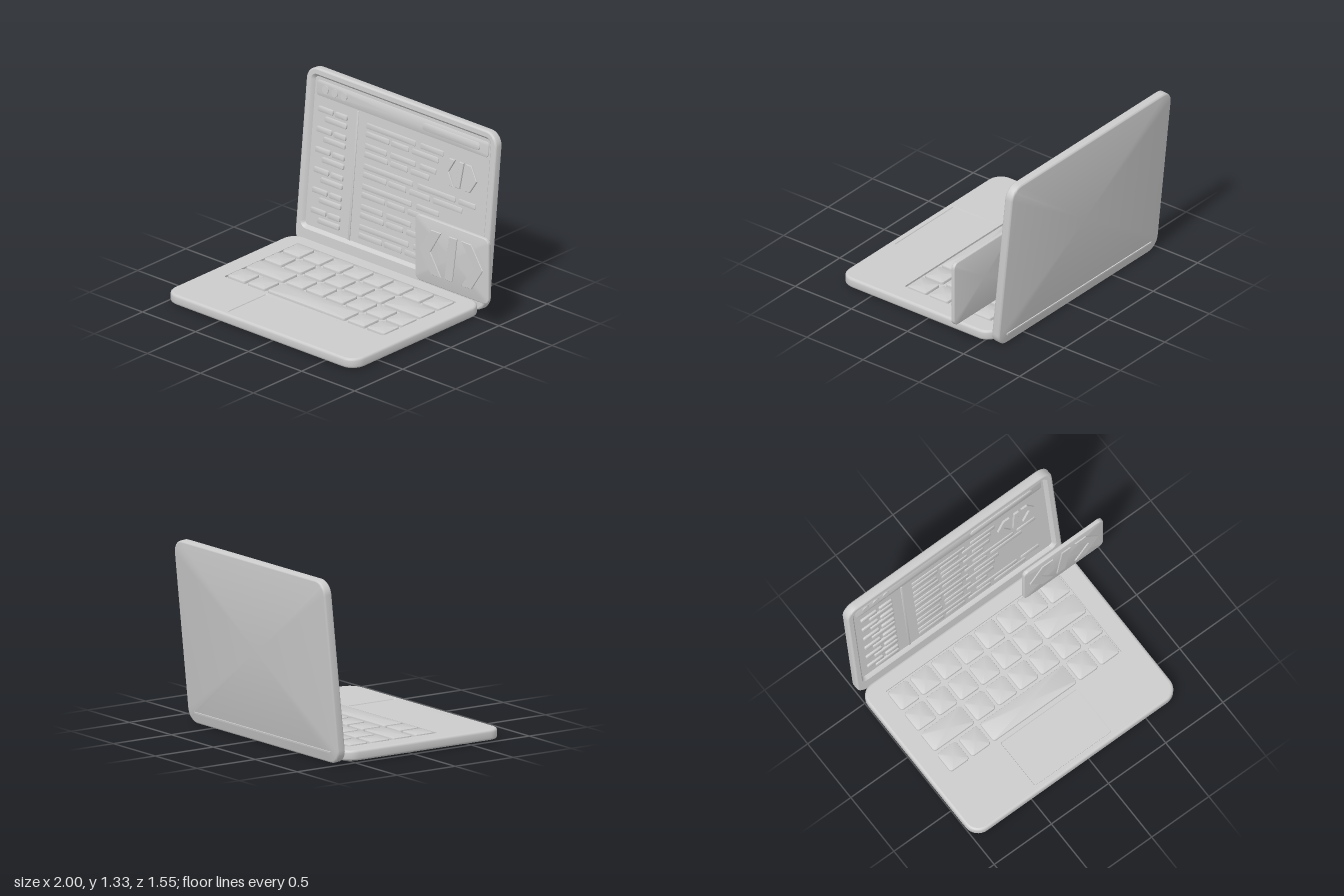
import * as THREE from 'three';
import { mergeGeometries, toCreasedNormals } from 'three/addons/utils/BufferGeometryUtils.js';

const material = new THREE.MeshStandardMaterial({ color: 0xcccccc });

// Counter-clockwise rounded rectangle outline
function outline(w, h, r, cx = 0, cy = 0, steps = 8) {
  const pts = [];
  const corners = [[1, 1], [-1, 1], [-1, -1], [1, -1]];
  corners.forEach(([sx, sy], q) => {
    for (let i = 0; i <= steps; i++) {
      const a = (q + i / steps) * Math.PI / 2;
      pts.push(new THREE.Vector2(
        cx + sx * (w / 2 - r) + r * Math.cos(a),
        cy + sy * (h / 2 - r) + r * Math.sin(a)));
    }
  });
  return pts;
}

// Skin over rounded-rectangle rings [inset, z]; caps are optional
function loft(w, h, r, cx, cy, rings, { start = true, end = true, steps = 8 } = {}) {
  const pos = [];
  const loops = rings.map(([d, z]) =>
    outline(w - 2 * d, h - 2 * d, Math.max(r - d, 0.002), cx, cy, steps)
      .map(p => [p.x, p.y, z]));
  const n = loops[0].length;
  for (let k = 0; k < loops.length - 1; k++) {
    for (let j = 0; j < n; j++) {
      const a = loops[k][j], b = loops[k][(j + 1) % n];
      const c = loops[k + 1][(j + 1) % n], d = loops[k + 1][j];
      pos.push(...a, ...b, ...c, ...a, ...c, ...d);
    }
  }
  const cap = (loop, up) => {
    for (let j = 0; j < n; j++) {
      const a = loop[j], b = loop[(j + 1) % n], m = [cx, cy, a[2]];
      pos.push(...m, ...(up ? a : b), ...(up ? b : a));
    }
  };
  if (start) cap(loops[0], false);
  if (end) cap(loops[loops.length - 1], true);
  const g = new THREE.BufferGeometry();
  g.setAttribute('position', new THREE.Float32BufferAttribute(pos, 3));
  return toCreasedNormals(g, 0.6);
}

// Rounded slab given by its edges, with softened front edges
function slab(x0, x1, y0, y1, z0, z1, r, bevel = 0.003) {
  return loft(x1 - x0, y1 - y0, r, (x0 + x1) / 2, (y0 + y1) / 2,
    [[0, z0], [0, z1 - bevel], [bevel * 0.3, z1 - bevel * 0.3], [bevel, z1]], { steps: 5 });
}

function add(parent, name, geometry) {
  const mesh = new THREE.Mesh(geometry, material);
  mesh.name = name;
  parent.add(mesh);
  return mesh;
}

// Rounded outer rim running from the back face to the front face
const rim = (z0, z1, b) => [
  [b, z0], [b * 0.5, z0 + b * 0.13], [b * 0.13, z0 + b * 0.5], [0, z0 + b],
  [0, z1 - b], [b * 0.13, z1 - b * 0.5], [b * 0.5, z1 - b * 0.13], [b, z1]];

// Two chevrons with a slanted bar between them, centred on the origin
function chevrons(sx, sy, depth) {
  const shapes = [
    [[-0.298, 0], [-0.19, -0.17], [-0.095, -0.17], [-0.197, 0], [-0.095, 0.17], [-0.19, 0.17]],
    [[-0.065, -0.17], [0.01, -0.17], [0.055, 0.17], [-0.02, 0.17]],
    [[0.298, 0], [0.19, 0.17], [0.095, 0.17], [0.21, 0], [0.095, -0.17], [0.19, -0.17]]];
  return mergeGeometries(shapes.map(pts => new THREE.ExtrudeGeometry(
    new THREE.Shape(pts.map(([x, y]) => new THREE.Vector2(x * sx, y * sy))),
    { depth: depth - 0.003, bevelThickness: 0.003, bevelSize: 0.003, bevelSegments: 1, bevelOffset: -0.003 })));
}

function buildBase() {
  // Local z is up, local y points to the back
  const base = new THREE.Group();
  base.name = 'base';
  base.rotation.x = -Math.PI / 2;
  const cx = -0.105, cy = -0.103, w = 1.79, h = 1.348, r = 0.11, top = 0.085, b = 0.018;
  const well = [1.5, 0.77, 0.02, -0.107, 0.073];
  const pad = [0.67, 0.4, 0.012, -0.105, -0.53];

  add(base, 'baseShell', loft(w, h, r, cx, cy, rim(0.01, top, b), { end: false }));
  const deck = new THREE.Shape(outline(w - 2 * b, h - 2 * b, r - b, cx, cy));
  deck.holes.push(new THREE.Path(outline(...well).reverse()), new THREE.Path(outline(...pad).reverse()));
  add(base, 'deck', new THREE.ShapeGeometry(deck).translate(0, 0, top));
  add(base, 'keyboardWell', loft(...well, [[0, top], [0, top - 0.014]], { start: false }));
  add(base, 'trackpad', loft(...pad, [[0, top], [0.003, top - 0.006]], { start: false }));

  // Key widths in columns for each row, back to front
  const rows = [
    [1, 1, 1, 1, 1, 1, 1, 1],
    [1, 1, 1, 1, 1, 1, 2],
    [2, 1, 1, 1, 1, 1, 1],
    [1, 1, 4, 1, 1]];
  const pitch = 0.188, size = 0.165, keys = [];
  rows.forEach((row, i) => {
    let col = 0;
    const y1 = 0.442 - i * 0.19;
    for (const span of row) {
      const x0 = -0.847 + col * pitch;
      keys.push(slab(x0, x0 + (span - 1) * pitch + size, y1 - size, y1, top - 0.014, 0.092, 0.022, 0.005));
      col += span;
    }
  });
  add(base, 'keys', mergeGeometries(keys));
  return base;
}

function buildLid() {
  // Origin on the lower front edge; the lid leans back
  const lid = new THREE.Group();
  lid.name = 'lid';
  lid.position.set(0, 0.005, -0.573);
  lid.rotation.x = -0.102;
  const cx = -0.105, floor = -0.028;

  const shell = rim(-0.068, 0, 0.014);
  add(lid, 'lidShell', loft(1.79, 1.33, 0.1, cx, 0.665, shell, { end: false }));
  // Bezel with the screen recessed behind a sloping edge
  const frame = new THREE.Shape(outline(1.762, 1.302, 0.086, cx, 0.665));
  const screen = [1.7, 1.15, 0.05, cx, 0.71];
  frame.holes.push(new THREE.Path(outline(...screen).reverse()));
  add(lid, 'bezel', new THREE.ShapeGeometry(frame));
  add(lid, 'screen', loft(...screen, [[0, 0], [0.008, -0.006], [0.022, floor]], { start: false }));
  add(lid, 'hingeRidge', new THREE.BoxGeometry(1.62, 0.012, 0.012).translate(cx, 0.08, -0.07));

  const bar = (x0, x1, y, height, raise, r) =>
    slab(x0, x1, y - height / 2, y + height / 2, floor - 0.004, floor + raise, r);

  // Top bar with three round buttons and a long field
  add(lid, 'topBar', bar(-0.915, 0.705, 1.183, 0.115, 0.006, 0.025));
  const buttons = [-0.83, -0.742, -0.654].map(x =>
    new THREE.CylinderGeometry(0.029, 0.029, 0.014, 24).rotateX(Math.PI / 2).translate(x, 1.185, floor + 0.006));
  add(lid, 'roundButtons', mergeGeometries(buttons));
  add(lid, 'searchField', bar(0.085, 0.625, 1.185, 0.058, 0.012, 0.028));
  add(lid, 'sidebarDivider', bar(-0.53, -0.512, 0.635, 0.96, 0.006, 0.003));

  // Sidebar entries and text lines share one paired rhythm
  const entries = [], lines = [];
  const patterns = [
    [[-0.435, 0.03], [0.075, 0.29]],
    [[-0.435, -0.215], [-0.195, -0.03], [0, 0.25]],
    [[-0.435, -0.23], [-0.195, 0.04], [0.08, 0.235]],
    [[-0.435, -0.215], [-0.19, -0.03], [0, 0.175]],
    [[-0.435, 0.03], [0.075, 0.43], [0.46, 0.62]],
    [[-0.435, -0.215], [-0.195, -0.03], [0, 0.195], [0.225, 0.5]]];
  for (let i = 0; i < 6; i++) {
    const yA = 1.034 - i * 0.1505, yB = yA - 0.062;
    entries.push(bar(-0.885, -0.745, yA, 0.04, 0.014, 0.012), bar(-0.725, -0.612, yA, 0.04, 0.014, 0.012));
    entries.push(bar(-0.815, -0.612, yB, 0.04, 0.014, 0.012));
    [yA, yB].forEach((y, k) => {
      for (const [x0, x1] of patterns[(2 * i + k) % 6]) lines.push(bar(x0, x1, y, 0.042, 0.006, 0.01));
    });
  }
  add(lid, 'sidebarEntries', mergeGeometries(entries));
  add(lid, 'textLines', mergeGeometries(lines));
  add(lid, 'screenChevrons', chevrons(0.54, 0.58, 0.014)).position.set(0.462, 0.926, floor);
  return lid;
}

function buildCard() {
  const card = new THREE.Group();
  card.name = 'floatingCard';
  card.position.set(0.655, 0.44, -0.388);
  add(card, 'cardPanel', loft(0.69, 0.5, 0.045, 0, 0, rim(-0.03, 0, 0.006)));
  add(card, 'cardChevrons', chevrons(1, 1, 0.008));
  return card;
}

export function createModel() {
  const model = new THREE.Group();
  model.name = 'laptop';
  model.add(buildBase(), buildLid(), buildCard());
  return model;
}
